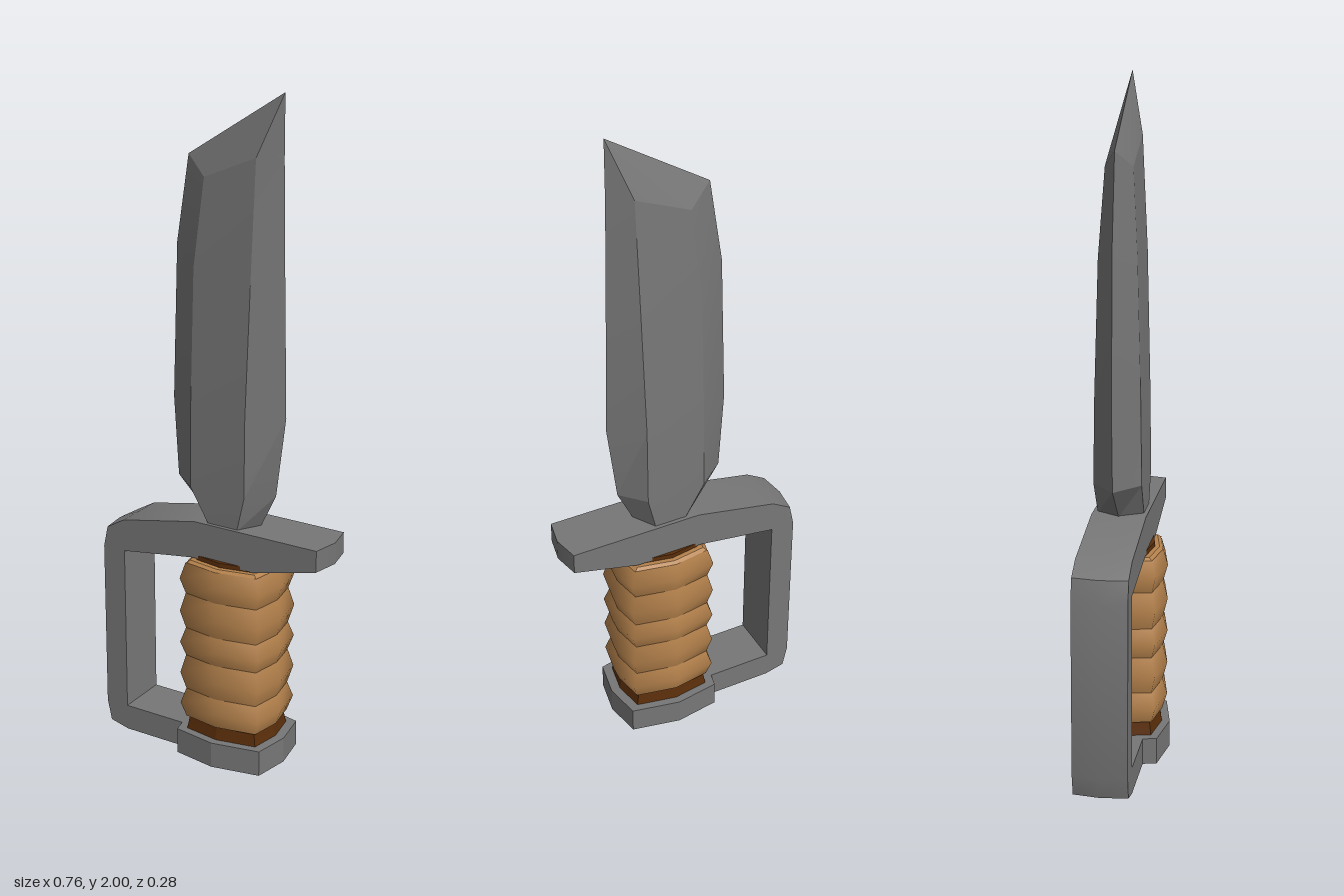
import * as THREE from 'three';
import { toCreasedNormals } from 'three/addons/utils/BufferGeometryUtils.js';

// Skin a row of matching rings; each ring runs counter-clockwise seen from the end.
function loft(rings, crease, caps = true) {
  const pos = [];
  const tri = (a, b, c) => pos.push(...a, ...b, ...c);
  const n = rings[0].length;
  for (let r = 0; r < rings.length - 1; r++) {
    const a = rings[r], b = rings[r + 1];
    for (let i = 0; i < n; i++) {
      const j = (i + 1) % n;
      tri(a[i], a[j], b[j]);
      tri(a[i], b[j], b[i]);
    }
  }
  if (caps) {
    const s = rings[0], e = rings[rings.length - 1];
    for (let i = 0; i < n - 2; i++) {
      tri(s[n - 1], s[i + 1], s[i]);
      tri(e[n - 1], e[i], e[i + 1]);
    }
  }
  const g = new THREE.BufferGeometry();
  g.setAttribute('position', new THREE.Float32BufferAttribute(pos, 3));
  return toCreasedNormals(g, crease);
}

// Elongated octagon shared by the pommel and the grip
const HANDLE_X = 0.053;
const half = [[-0.16, 0], [-0.133, 0.12], [0, 0.14], [0.147, 0.11], [0.167, 0]];
const outline = [...half, ...half.slice(1, 4).reverse().map(([x, z]) => [x, -z])];
const section = (s, y) => outline.map(([x, z]) => [HANDLE_X + x * s, y, z * s]);

export function createModel() {
  const model = new THREE.Group();
  const material = (name, color) => {
    const m = new THREE.MeshStandardMaterial({ color });
    m.name = name;
    return m;
  };
  const steel = material('steel grey', 0x777777);
  const leather = material('tan leather', 0xb5824c);
  const core = material('dark brown', 0x5a2e0a);
  const add = (name, geometry, mat, parent = model) => {
    const mesh = new THREE.Mesh(geometry, mat);
    mesh.name = name;
    parent.add(mesh);
  };

  // Pommel
  add('pommel', loft([section(1, 0), section(1, 0.08)], 0.1), steel);

  // Dark core showing at both ends of the grip
  add('gripCore', loft([section(0.83, 0.08), section(0.76, 0.14), section(0.66, 0.6), section(0.66, 0.645)], 0.3), core);

  // Leather wrap: five bulging rings
  const grip = new THREE.Group();
  grip.name = 'gripWrap';
  model.add(grip);
  const valleys = [0.122, 0.215, 0.325, 0.415, 0.527, 0.625];
  for (let i = 0; i < 5; i++) {
    const lo = valleys[i], hi = valleys[i + 1];
    const rings = [section(0.84, lo), section(0.94, (lo + hi) / 2), section(0.84, hi)];
    add('wrapRing', loft(rings, 1.4, false), leather, grip);
  }
  add('wrapTop', loft([section(0.84, 0.622), section(0.76, 0.631)], 0.6), leather, grip);

  // Cross guard and knuckle bow: inner x, y then outer x, y, and the bulge of the middle line
  const stations = [
    [0.363, 0.685, 0.363, 0.75, 0.016],
    [0.16, 0.635, 0.16, 0.75, 0],
    [-0.05, 0.635, -0.04, 0.75, 0],
    [-0.29, 0.60, -0.29, 0.70, 0],
    [-0.29, 0.60, -0.35, 0.665, -0.01],
    [-0.29, 0.60, -0.364, 0.60, -0.015],
    [-0.29, 0.08, -0.364, 0.08, -0.015],
    [-0.29, 0.08, -0.35, 0.015, -0.01],
    [-0.29, 0.08, -0.29, 0, 0],
    [-0.08, 0.08, -0.08, 0, 0],
  ];
  const W = 0.08;
  const bow = stations.map(([ix, iy, ox, oy, b]) => [
    [ix, iy, W], [ox, oy, W], [ox + b, oy, 0],
    [ox, oy, -W], [ix, iy, -W], [ix + Math.max(b, 0), iy, 0],
  ]);
  add('guard', loft(bow, 0.65), steel);

  // Blade: left edge, left ridge, right ridge, right edge (x, y), then ridge half thickness
  const rows = [
    [[-0.04, 0.745], [0, 0.745], [0.095, 0.745], [0.135, 0.745], 0.068],
    [[-0.145, 0.85], [-0.06, 0.85], [0.12, 0.85], [0.185, 0.85], 0.07],
    [[-0.16, 1.09], [-0.06, 1.09], [0.12, 1.09], [0.215, 1.09], 0.067],
    [[-0.145, 1.55], [-0.055, 1.5], [0.13, 1.5], [0.205, 1.55], 0.056],
    [[-0.105, 1.805], [-0.03, 1.755], [0.135, 1.825], [0.2, 1.825], 0.04],
    [[0.2, 2], [0.2, 2], [0.2, 2], [0.2, 2], 0],
  ];
  const blade = rows.map(([l, p, q, r, t]) => [
    [...l, 0], [...p, t], [...q, t], [...r, 0], [...q, -t], [...p, -t],
  ]);
  add('blade', loft(blade, 0.2), steel);

  return model;
}
